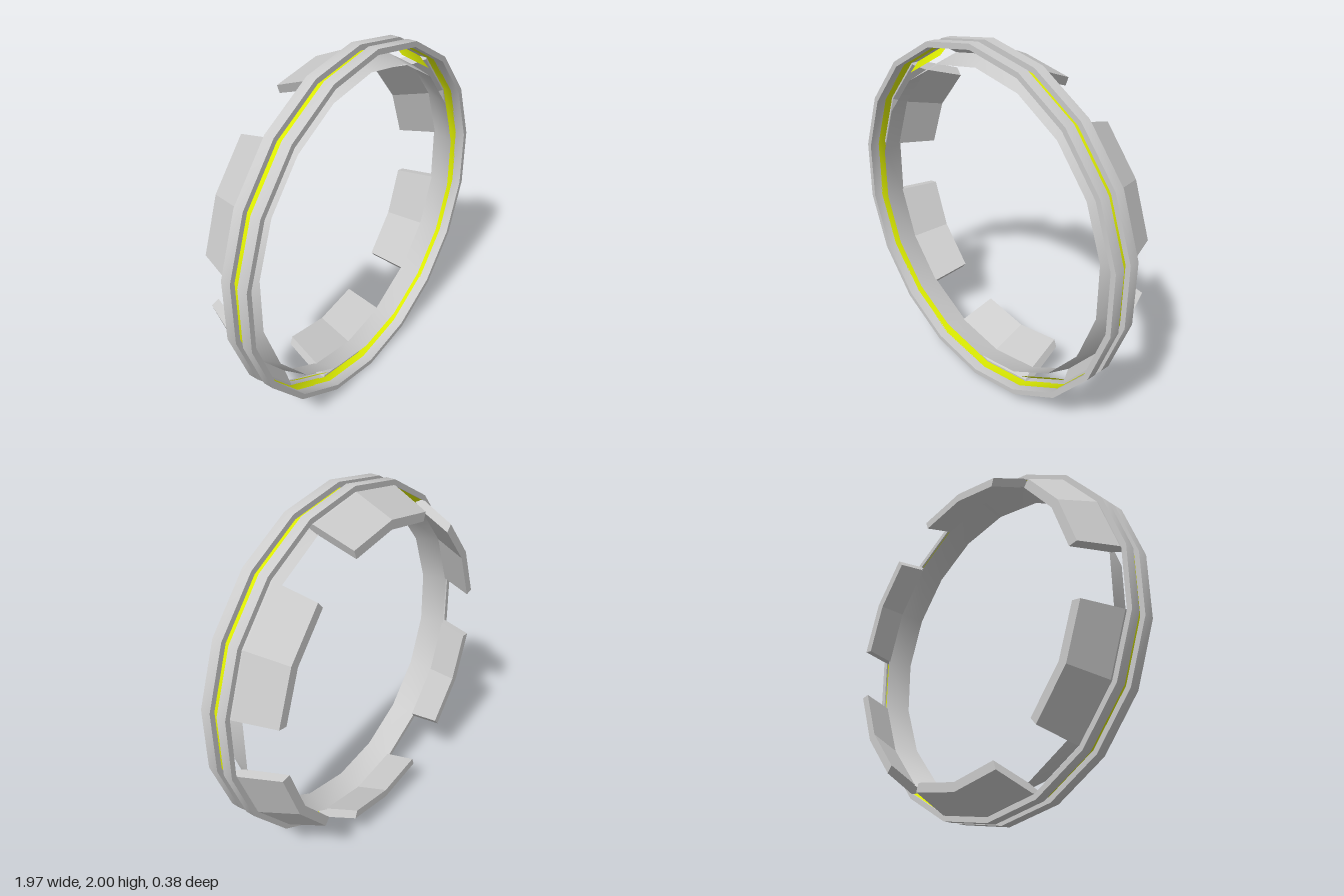
import * as THREE from 'three';
import { mergeGeometries, toCreasedNormals } from 'three/addons/utils/BufferGeometryUtils.js';

const SIDES = 18;
const STEP = (Math.PI * 2) / SIDES;
const vec = ([r, z]) => new THREE.Vector2(r, z);

// Revolves a [radius, z] profile about the z axis, angle 0 at the bottom
function revolve(profile, start = 0, segments = SIDES) {
  return new THREE.LatheGeometry(profile.map(vec), segments, start, segments * STEP);
}

// Closed wedge of a ring, flat shaded, with both ends capped
function wedge(profile, start, segments) {
  const outline = [...profile, profile[0]];
  const parts = [revolve(outline, start, segments).toNonIndexed()];
  for (const angle of [start, start + segments * STEP]) {
    const cap = new THREE.ShapeGeometry(new THREE.Shape(profile.map(vec)));
    parts.push(cap.rotateY(angle - Math.PI / 2).toNonIndexed());
  }
  const geometry = mergeGeometries(parts);
  geometry.computeVertexNormals();
  return geometry;
}

export function createModel() {
  const model = new THREE.Group();
  model.name = 'ringWithClips';
  const grey = new THREE.MeshStandardMaterial({ color: 0xcccccc, side: THREE.DoubleSide });
  const yellow = new THREE.MeshStandardMaterial({ color: 0xdcec00, side: THREE.DoubleSide });

  const add = (name, geometry, material) => {
    const mesh = new THREE.Mesh(geometry.rotateX(Math.PI / 2), material);
    mesh.name = name;
    mesh.position.y = 1;
    model.add(mesh);
  };
  const smooth = (geometry) => toCreasedNormals(geometry, 0.5);

  // Two outer bands with a groove between them
  const band = (back, front) =>
    smooth(revolve([[0.97, back], [1, back], [1, front], [0.97, front], [0.97, back]]));
  add('frontBand', band(0.13, 0.187), grey);
  add('backBand', band(0.03, 0.085), grey);

  // Coloured strip at the bottom of the groove
  add('grooveStrip', smooth(revolve([[0.97, 0.08], [0.97, 0.135]])), yellow);

  // Thin inner collar, widening towards the back
  add('innerCollar', smooth(revolve([[0.915, 0.008], [0.875, 0.15]])), grey);

  // Six clips leaning inwards at the back, with coloured webs between them
  const clip = [
    [0.83, -0.19], [0.88, -0.19], [0.97, 0.02], [0.97, 0.085], [0.96, 0.085], [0.915, 0.02],
  ];
  for (let i = 0; i < 6; i++) {
    const centre = (i * Math.PI) / 3;
    add('clip', wedge(clip, centre - STEP, 2), grey);
    add('web', revolve([[0.97, 0.04], [0.917, 0.12]], centre + STEP, 1), yellow);
  }
  return model;
}
